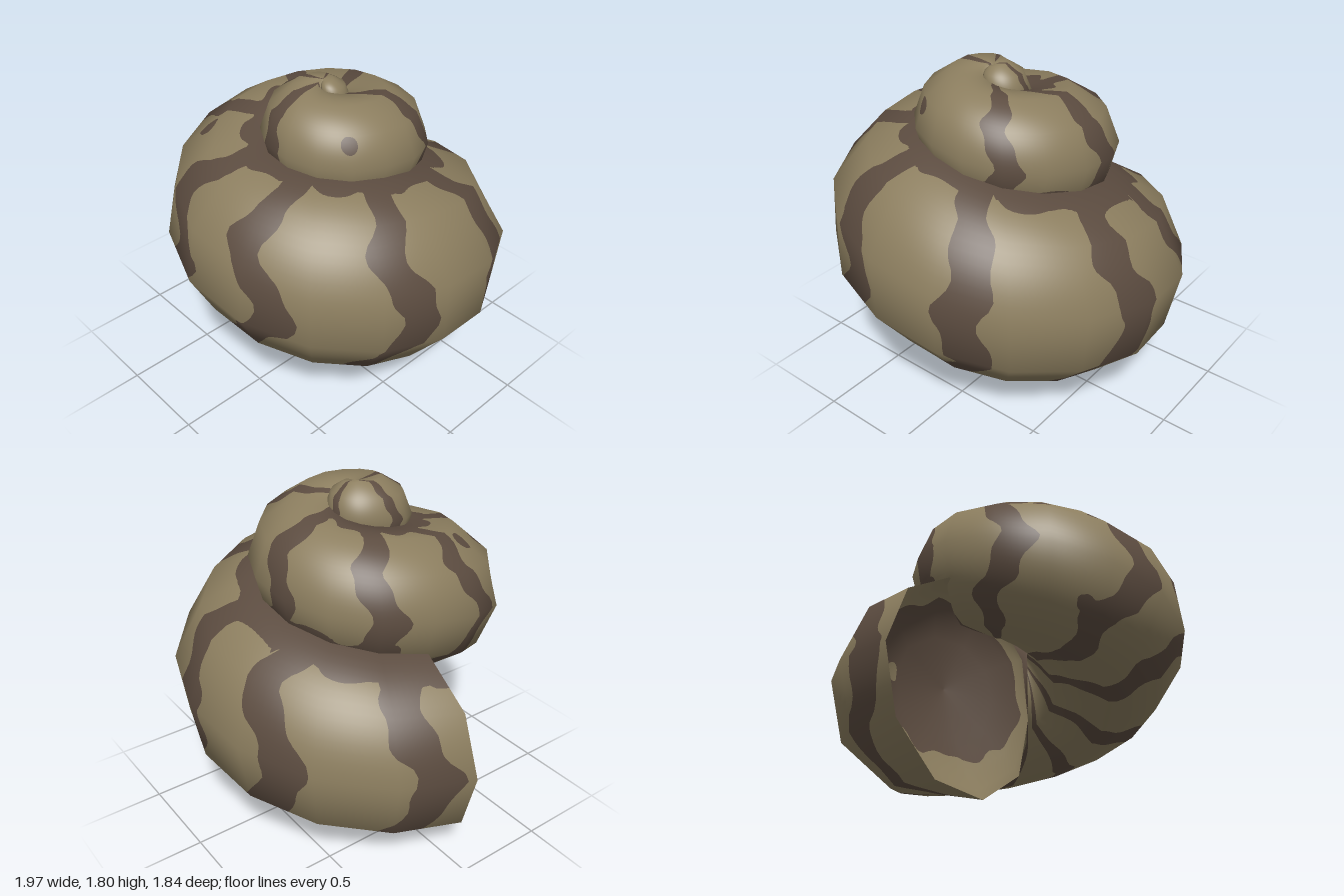
import * as THREE from 'three';

const tan = new THREE.MeshStandardMaterial({ color: 0x8c7e5f });
tan.name = 'tan shell';
const brown = new THREE.MeshStandardMaterial({ color: 0x5c4c40 });
brown.name = 'brown stripe';

const AXIS_X = 0.08, AXIS_Z = 0.08, SIDES = 10, START = 2, STEP = 22.5, ROWS = 44;
const { degToRad: rad, lerp, clamp } = THREE.MathUtils;

// whorl cross-section every quarter turn: outer reach, centre height, radius
const KEYS = [
  [1.08, 0.54, 0.56], [1.01, 0.72, 0.56], [0.92, 0.92, 0.55], [0.85, 1.07, 0.46],
  [0.71, 1.26, 0.37], [0.59, 1.38, 0.33], [0.46, 1.50, 0.27], [0.36, 1.56, 0.24],
  [0.21, 1.62, 0.19], [0.16, 1.66, 0.14], [0.09, 1.72, 0.07], [0, 1.78, 0],
];

function section(phi) {
  const q = Math.min(phi / 90, KEYS.length - 1), i = Math.min(Math.floor(q), KEYS.length - 2);
  return KEYS[i].map((v, k) => lerp(v, KEYS[i + 1][k], q - i));
}

// point on the coiled tube; scale shrinks the cross-section about its centre
function coilPoint(phi, theta, scale = 1) {
  const [outer, cy, r] = section(phi);
  const reach = Math.max(0, outer - r + scale * r * Math.cos(rad(theta)));
  return new THREE.Vector3(
    AXIS_X - Math.cos(rad(phi)) * reach,
    cy + scale * r * Math.sin(rad(theta)),
    AXIS_Z - Math.sin(rad(phi)) * reach);
}

// the ridges twist by one side over the first turn
const thetaOf = (j, phi) => 3 + 36 * (Math.min(phi, 360) / 360) ** 1.4 + (j * 360) / SIDES;

// cuts a triangle where its paint value crosses zero and adds the pieces to the two colours
function addCut(tri, faces) {
  [-1, 1].forEach((sign, side) => {
    const poly = [];
    tri.forEach((a, k) => {
      const b = tri[(k + 1) % 3];
      if (a.f * sign >= 0) poly.push(a);
      if (a.f * b.f < 0) {
        const t = a.f / (a.f - b.f);
        poly.push({ p: a.p.clone().lerp(b.p, t), n: a.n.clone().lerp(b.n, t), f: 0 });
      }
    });
    for (let k = 2; k < poly.length; k++) faces[side].push(poly[0], poly[k - 1], poly[k]);
  });
}

// coarse closed-ring surface, finely divided and cut where paint(u, v) changes sign
function paintedSurface(name, rows, pointAt, flip, subU, subV, paint) {
  const coarse = new THREE.BufferGeometry(), pos = [], idx = [];
  for (let i = 0; i <= rows; i++)
    for (let j = 0; j < SIDES; j++) pos.push(...pointAt(i, j).toArray());
  for (let i = 0; i < rows; i++) {
    for (let j = 0; j < SIDES; j++) {
      const a = i * SIDES + j, b = i * SIDES + (j + 1) % SIDES;
      const c = a + SIDES, d = b + SIDES;
      if (flip) idx.push(a, c, b, b, c, d);
      else idx.push(a, b, c, b, d, c);
    }
  }
  coarse.setAttribute('position', new THREE.Float32BufferAttribute(pos, 3));
  coarse.setIndex(idx);
  coarse.computeVertexNormals();

  const sample = (attr, u, v) => {
    const i = Math.min(Math.floor(u), rows - 1), j = Math.floor(v);
    const at = (r, c) => new THREE.Vector3().fromBufferAttribute(attr, r * SIDES + c % SIDES);
    const p = at(i, j).lerp(at(i, j + 1), v - j);
    return p.lerp(at(i + 1, j).lerp(at(i + 1, j + 1), v - j), u - i);
  };
  const U = rows * subU, V = SIDES * subV, grid = [], faces = [[], []];
  for (let i = 0; i <= U; i++) {
    for (let j = 0; j <= V; j++) {
      const u = i / subU, v = j / subV;
      grid.push({
        p: sample(coarse.attributes.position, u, v),
        n: sample(coarse.attributes.normal, u, v).normalize(),
        f: paint(u, v) || 1e-6,
      });
    }
  }
  for (let i = 0; i < U; i++) {
    for (let j = 0; j < V; j++) {
      const k = i * (V + 1) + j;
      const a = grid[k], b = grid[k + 1], c = grid[k + V + 1], d = grid[k + V + 2];
      addCut(flip ? [a, c, b] : [a, b, c], faces);
      addCut(flip ? [b, c, d] : [b, d, c], faces);
    }
  }
  const all = faces.flat(), geo = new THREE.BufferGeometry();
  const attribute = (key) => new THREE.Float32BufferAttribute(all.flatMap((c) => c[key].toArray()), 3);
  geo.setAttribute('position', attribute('p'));
  geo.setAttribute('normal', attribute('n'));
  geo.addGroup(0, faces[0].length, 0);
  geo.addGroup(faces[0].length, faces[1].length, 1);
  const mesh = new THREE.Mesh(geo, [tan, brown]);
  mesh.name = name;
  return mesh;
}

// zigzag stripes: angle along the coil, strength of the bend
const STRIPES = [
  [17, 5], [61, 5], [98, 4], [150, -2], [196, 4], [245, 6], [284, 6], [335, 5], [385, 4],
  [436, 4], [498, 3], [629, 3], [695, 3], [790, 3],
];
// small spots: angle along the coil, angle round the section, size
const SPOTS = [[318, 58, 5], [302, -38, 4], [565, 30, 6]];

// positive where the whorls are brown
function whorlPaint(u, v) {
  const phi = START + u * STEP;
  const th = ((thetaOf(v, phi) + 180) % 360) - 180;
  const rough = Math.sin(th * 0.21 + phi * 0.12) + 0.6 * Math.sin(th * 0.13 - phi * 0.23);
  // dark band on both sides of the seam between the two large whorls
  const seam = 56 + Math.min(phi, 330) * 0.1 + clamp((phi - 400) * 0.4, 0, 40) + rough * 3;
  const above = Math.min(-20 + rough * 4 - th, phi - 375, 640 - phi);
  // stripes swept back underneath
  const half = (phi > 370 ? 8 : 6.8) + rough * 1.3;
  const sweep = Math.max(0, -th - 30) * 0.4;
  const stripes = STRIPES.map(([s, bend]) =>
    half - Math.abs(phi - s + bend * Math.cos(rad(th * 4.5)) - sweep));
  const spots = SPOTS.map(([p, t, size]) => size - Math.hypot(phi - p, (th - t) * 0.6));
  return Math.max(th - seam, above, ...stripes, ...spots);
}

// mouth rings from lip to throat: angle along the coil, scale of the section
const BOWL = [[2, 1], [7, 0.93], [15, 0.78], [22, 0.5], [25, 0]];

// positive in the dark throat, leaving one pale fleck
function mouthPaint(u, v) {
  const th = rad(thetaOf(v, START));
  const edge = 2 - 0.4 * Math.sin(th) - 0.25 * Math.cos(th) ** 2
    + 0.1 * Math.sin(th * 7) + 0.08 * Math.sin(th * 13);
  const fleck = Math.hypot((u - 2.75) * 1.2, Math.sin((th - 0.05) / 2) * 4) - 0.32;
  return Math.min(u - edge, fleck);
}

export function createModel() {
  const model = new THREE.Group();
  model.name = 'snailShell';

  // coiled whorls
  model.add(paintedSurface('whorls', ROWS, (i, j) => {
    const phi = START + i * STEP;
    return coilPoint(phi, thetaOf(j, phi));
  }, false, 9, 7, whorlPaint));

  // hollow mouth with a pale lip and a dark throat
  model.add(paintedSurface('mouth', BOWL.length - 1,
    (i, j) => coilPoint(BOWL[i][0], thetaOf(j, START), BOWL[i][1]), true, 10, 8, mouthPaint));
  return model;
}
